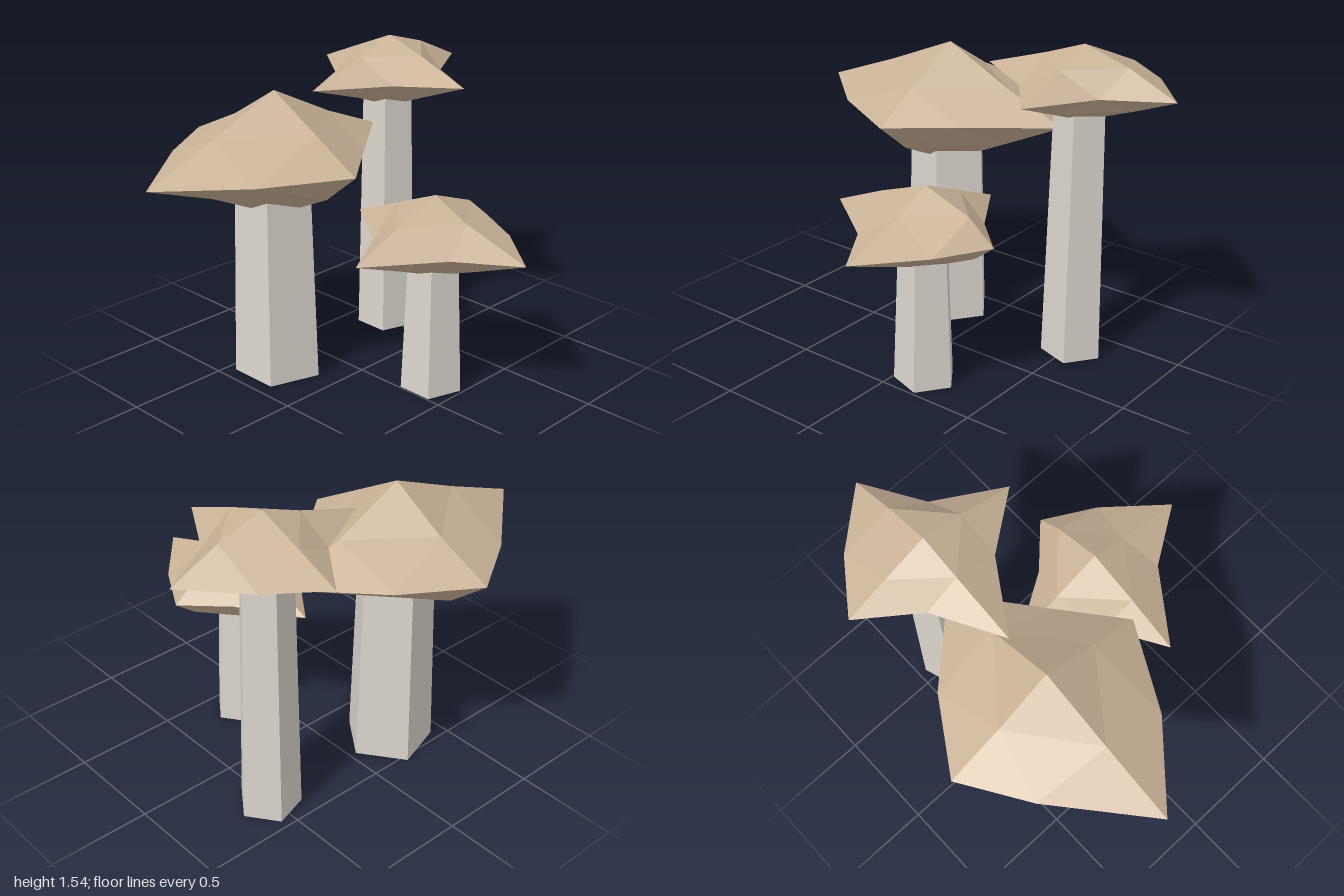
import * as THREE from 'three';

const capMaterial = new THREE.MeshStandardMaterial({ color: 0xc9b297, flatShading: true });
const stemMaterial = new THREE.MeshStandardMaterial({ color: 0xdad5cc, flatShading: true });

// Each cap is an uneven octahedron split once.
// tips: distances to the six corners; rim: [x, z] of the four equator mid-points;
// upper / lower: [outward, vertical] of the mid-points on the ridges to the apexes.
const mushrooms = [
  {
    name: 'wideMushroom', at: [-0.32, 1.12, 0.25], foot: [-0.323, 0.253], radius: 0.218, taper: 0.85,
    tips: { px: 0.525, nx: 0.56, py: 0.3, ny: 0.31, pz: 0.75, nz: 0.66 },
    rim: { pxpz: [0.31, 0.4], pxnz: [0.3, 0.28], nxpz: [0.36, 0.32], nxnz: [0.34, 0.34] },
    upper: { px: [0.28, 0.14], nx: [0.28, 0.13], pz: [0.37, 0.145], nz: [0.35, 0.126] },
    lower: { px: [0.34, 0.15], nx: [0.36, 0.16], pz: [0.386, 0.13], nz: [0.34, 0.15] },
  },
  {
    name: 'shortMushroom', at: [0.34, 0.775, -0.135], foot: [0.342, -0.13], radius: 0.151, taper: 0.79,
    tips: { px: 0.53, nx: 0.485, py: 0.2, ny: 0.2, pz: 0.525, nz: 0.38 },
    rim: { pxpz: [0.25, 0.185], pxnz: [0.25, 0.24], nxpz: [0.17, 0.235], nxnz: [0.19, 0.185] },
    upper: { px: [0.19, 0.107], nx: [0.245, 0.1], pz: [0.26, 0.11], nz: [0.245, 0.11] },
    lower: { px: [0.27, 0.1], nx: [0.26, 0.11], pz: [0.27, 0.095], nz: [0.275, 0.08] },
  },
  {
    name: 'tallMushroom', at: [-0.315, 1.365, -0.52], foot: [-0.315, -0.515], radius: 0.152, taper: 0.82,
    tips: { px: 0.485, nx: 0.445, py: 0.18, ny: 0.18, pz: 0.53, nz: 0.48 },
    rim: { pxpz: [0.215, 0.203], pxnz: [0.172, 0.19], nxpz: [0.177, 0.203], nxnz: [0.265, 0.247] },
    upper: { px: [0.21, 0.11], nx: [0.225, 0.09], pz: [0.205, 0.105], nz: [0.234, 0.11] },
    lower: { px: [0.24, 0.09], nx: [0.23, 0.095], pz: [0.21, 0.1], nz: [0.29, 0.075] },
  },
];

function capGeometry({ tips, rim, upper, lower }) {
  const positions = [];
  for (const sx of [1, -1]) for (const sy of [1, -1]) for (const sz of [1, -1]) {
    const kx = sx > 0 ? 'px' : 'nx';
    const ky = sy > 0 ? 'py' : 'ny';
    const kz = sz > 0 ? 'pz' : 'nz';
    const ridge = sy > 0 ? upper : lower;

    // Three corners and three mid-points of this octant
    const X = [sx * tips[kx], 0, 0];
    const Y = [0, sy * tips[ky], 0];
    const Z = [0, 0, sz * tips[kz]];
    const xy = [sx * ridge[kx][0], sy * ridge[kx][1], 0];
    const yz = [0, sy * ridge[kz][1], sz * ridge[kz][0]];
    const xz = [sx * rim[kx + kz][0], 0, sz * rim[kx + kz][1]];

    for (const [a, b, c] of [[X, xy, xz], [xy, Y, yz], [xz, yz, Z], [xy, yz, xz]]) {
      // Mirrored octants need the opposite winding
      if (sx * sy * sz > 0) positions.push(...a, ...b, ...c);
      else positions.push(...a, ...c, ...b);
    }
  }
  const geometry = new THREE.BufferGeometry();
  geometry.setAttribute('position', new THREE.Float32BufferAttribute(positions, 3));
  geometry.computeVertexNormals();
  return geometry;
}

function createMushroom(spec) {
  const group = new THREE.Group();
  group.name = spec.name;

  // Faceted cap
  const cap = new THREE.Mesh(capGeometry(spec), capMaterial);
  cap.name = 'cap';
  cap.position.set(...spec.at);

  // Tapered five-sided stem with a flat side to the front
  const height = spec.at[1];
  const stem = new THREE.Mesh(
    new THREE.CylinderGeometry(spec.radius * spec.taper, spec.radius, height, 5), stemMaterial);
  stem.name = 'stem';
  stem.rotation.y = Math.PI;
  stem.position.set(spec.foot[0], height / 2, spec.foot[1]);

  group.add(cap, stem);
  return group;
}

export function createModel() {
  const model = new THREE.Group();
  model.name = 'mushroomCluster';
  for (const spec of mushrooms) model.add(createMushroom(spec));
  return model;
}
